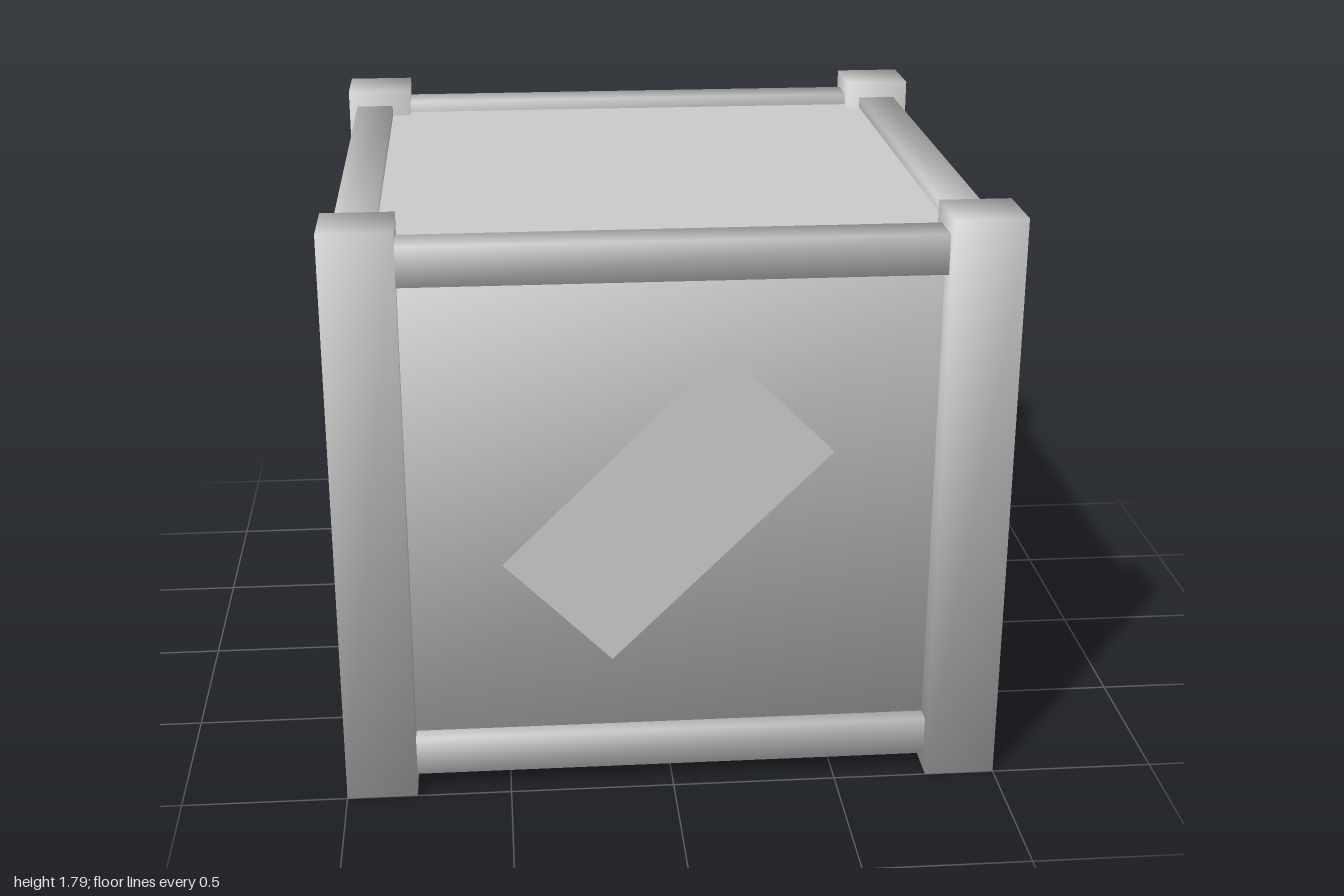
import * as THREE from 'three';

const material = new THREE.MeshStandardMaterial({ color: 0xcccccc });

// Box shaded smoothly: each corner normal points straight out along its diagonal
function softBox(w, h, d) {
  const box = new THREE.BoxGeometry(w, h, d);
  const { position, normal } = box.attributes;
  const n = new THREE.Vector3();
  for (let i = 0; i < position.count; i++) {
    n.set(Math.sign(position.getX(i)), Math.sign(position.getY(i)), Math.sign(position.getZ(i))).normalize();
    normal.setXYZ(i, n.x, n.y, n.z);
  }
  return box;
}

export function createModel() {
  const model = new THREE.Group();
  model.name = 'crate';

  const add = (name, geometry, x, y, z, parent = model) => {
    const mesh = new THREE.Mesh(geometry, material);
    mesh.name = name;
    mesh.position.set(x, y, z);
    parent.add(mesh);
    return mesh;
  };

  // Body, recessed behind the frame, its floor raised above the bottom rails
  add('body', softBox(1.816, 1.53, 1.816), 0, 0.895, 0);

  // Flat lid sheet, just above the body
  add('lid', new THREE.PlaneGeometry(1.816, 1.816), 0, 1.7, 0).rotation.x = -Math.PI / 2;

  // Corner posts
  const post = softBox(0.214, 1.79, 0.214);
  for (const x of [-0.893, 0.893])
    for (const z of [-0.893, 0.893]) add('cornerPost', post, x, 0.895, z);

  // Rails between the posts, top and bottom
  const crossRail = softBox(1.7, 0.12, 0.122);
  const sideRail = softBox(0.124, 0.117, 1.7);
  for (const y of [0.113, 1.677]) {
    for (const z of [-0.9, 0.9]) add('crossRail', crossRail, 0, y, z);
    for (const x of [-0.91, 0.892]) add('sideRail', sideRail, x, y, 0);
  }

  // Diagonal label plates on the front and back
  const plate = new THREE.PlaneGeometry(0.935, 0.463);
  for (const [name, x, z, turn] of [['frontLabel', -0.015, 0.927, 0], ['backLabel', 0.015, 0.947, Math.PI]]) {
    const side = new THREE.Group();
    side.name = name;
    side.rotation.y = turn;
    model.add(side);
    add('labelPlate', plate, x, 0.9, z, side).rotation.z = Math.PI / 4;
  }

  return model;
}
